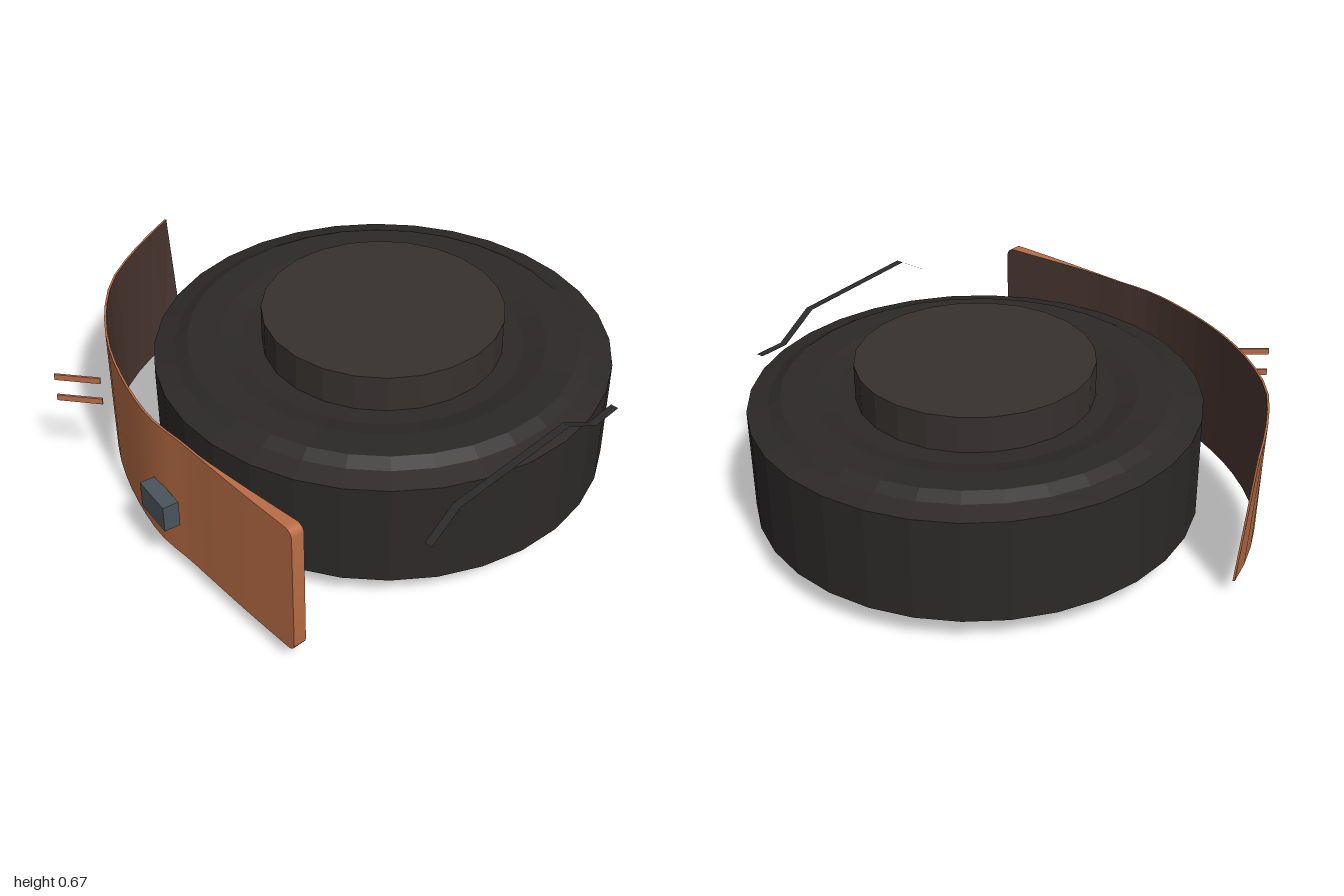
import * as THREE from 'three';
import { toCreasedNormals } from 'three/addons/utils/BufferGeometryUtils.js';

const mat = (color, extra = {}) => new THREE.MeshStandardMaterial({ color, ...extra });
const orange = mat(0xb86d45);
const lining = mat(0x4a3630, { flatShading: true });
const rubber = mat(0x2c2928, { flatShading: true });
const hubMat = mat(0x37312f, { flatShading: true });
const darkMetal = mat(0x2b2b2b, { side: THREE.DoubleSide, flatShading: true });
const plateMat = mat(0x4b545c, { flatShading: true });

function add(parent, name, geometry, material) {
  const mesh = new THREE.Mesh(geometry, material);
  mesh.name = name;
  parent.add(mesh);
  return mesh;
}

function lathe(points, sides) {
  return new THREE.LatheGeometry(points.map(([r, y]) => new THREE.Vector2(r, y)), sides);
}

// Curved guard: a box bent along a plan curve, thick at one end and tapering along its length
function guardGeometry() {
  const path = new THREE.CatmullRomCurve3([
    [0.70, 0.92], [0.42, 0.90], [0.15, 0.875], [-0.07, 0.855], [-0.48, 0.69],
    [-0.78, 0.44], [-0.92, 0.19], [-1.0, -0.02],
  ].map(([x, z]) => new THREE.Vector3(x, 0, z)));
  const length = path.getLength(), corner = 0.03;
  const geo = new THREE.BoxGeometry(1, 1, 1, 36, 1, 1);
  const pos = geo.attributes.position;
  for (let i = 0; i < pos.count; i++) {
    const t = Math.min(1, Math.max(0, 0.5 - pos.getX(i))) ** 2;
    const top = pos.getY(i) > 0, inner = pos.getZ(i) < 0;
    const p = path.getPointAt(t), tan = path.getTangentAt(t);
    // Rounded corners at the thick end
    const d = Math.min(corner, t * length);
    const inset = corner - Math.sqrt(corner ** 2 - (corner - d) ** 2);
    // Slanted far end
    if (!top) p.x += 0.05 * t ** 8;
    if (inner) {
      const thick = Math.max(0.008, 0.05 * (1 - (t * length) / 0.55));
      p.x += -tan.z * thick;
      p.z += tan.x * thick;
    }
    pos.setXYZ(i, p.x, top ? 0.6 - inset : 0.07 + inset, p.z);
  }
  geo.deleteAttribute('normal');
  return toCreasedNormals(geo, 0.6);
}

// Thin bent strip, as a plane following a side profile
function stripGeometry(profile, x0, x1) {
  const geo = new THREE.PlaneGeometry(1, 1, 1, profile.length - 1);
  const pos = geo.attributes.position;
  for (let i = 0; i < pos.count; i++) {
    const [z, y] = profile[Math.floor(i / 2)];
    pos.setXYZ(i, i % 2 ? x1 : x0, y, z);
  }
  geo.computeVertexNormals();
  return geo;
}

export function createModel() {
  const model = new THREE.Group();
  model.name = 'wheelAndGuard';

  // Wheel lying flat
  const wheel = new THREE.Group();
  wheel.name = 'wheel';
  wheel.position.set(0.13, 0, -0.105);
  model.add(wheel);

  // Tyre with the recessed underside
  add(wheel, 'tyre', lathe([
    [0, 0.22], [0.30, 0.22], [0.36, 0.12], [0.42, 0.065], [0.655, 0.06], [0.76, 0.1],
    [0.843, 0.108], [0.843, 0.51], [0.765, 0.53], [0.72, 0.555], [0.60, 0.55],
    [0.52, 0.53], [0.43, 0.53],
  ], 32), rubber);

  // Raised disc on top
  add(wheel, 'hubDisc', lathe([[0.445, 0.52], [0.445, 0.67], [0, 0.67]], 24), hubMat);

  // Stepped cap underneath
  add(wheel, 'axleCap', lathe([
    [0, 0], [0.105, 0], [0.15, 0.035], [0.22, 0.037], [0.22, 0.058], [0.18, 0.06], [0.18, 0.23],
  ], 24), rubber);

  // Spokes in the recess
  for (let i = 0; i < 12; i++) {
    const spoke = new THREE.Group();
    spoke.name = 'spoke';
    spoke.rotation.y = (i / 12) * Math.PI * 2;
    add(spoke, 'spokeBar', new THREE.BoxGeometry(0.16, 0.06, 0.045), hubMat).position.set(0.25, 0.17, 0);
    wheel.add(spoke);
  }

  // Guard: orange outside and edges, dark inside
  add(model, 'guard', guardGeometry(), [orange, orange, orange, orange, orange, lining]);

  // Two short rods on the guard
  for (const y of [0.495, 0.403]) {
    const rod = add(model, 'guardRod', new THREE.BoxGeometry(0.17, 0.024, 0.008), orange);
    rod.position.set(-0.51, y, 0.815);
    rod.rotation.y = Math.atan2(0.1, 0.14);
  }

  // Small plate on the guard
  const plate = add(model, 'guardPlate', new THREE.BoxGeometry(0.163, 0.104, 0.06), plateMat);
  plate.position.set(0.025, 0.283, 0.9);
  plate.rotation.y = -0.2;

  // Bent strip beside the wheel
  add(model, 'bentStrip', stripGeometry([
    [-0.37, 0.52], [-0.24, 0.515], [-0.08, 0.605], [0.48, 0.605], [0.61, 0.525],
  ], 0.97, 1.0), darkMetal);

  return model;
}
